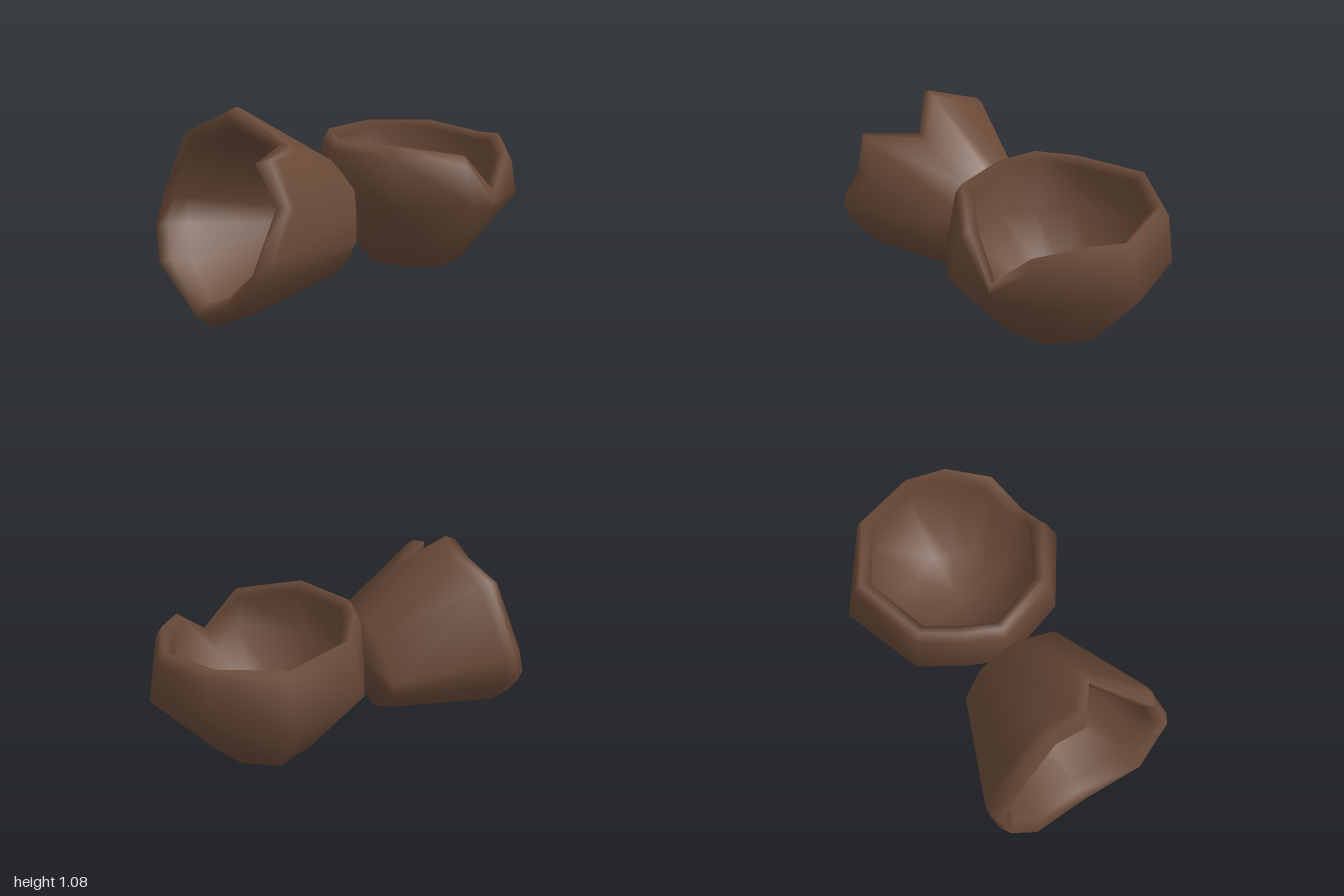
import * as THREE from 'three';
import { mergeVertices } from 'three/addons/utils/BufferGeometryUtils.js';

// Thick broken shell opening along +y. Each column is
// [angle in degrees, widest radius, rim height, rim radius].
function shellGeometry(columns, baseRadius, widestHeight, bulge) {
  const positions = [];
  const index = [];
  const rings = 9;
  for (const [deg, wide, rimH, rimR] of columns) {
    const a = THREE.MathUtils.degToRad(deg);
    const base = baseRadius * wide / 0.58;
    const mid = Math.min(widestHeight, rimH - 0.1); // broken gaps cut below the widest ring
    const wideR = THREE.MathUtils.lerp(base, wide, mid / widestHeight);
    const profile = [
      [0, -bulge], [base, 0], [wideR, mid],
      [Math.min(rimR + 0.035, wideR + 0.02), rimH - 0.055], [rimR, rimH],
      [rimR - 0.055, rimH - 0.04],
      [wideR - 0.09, mid], [base - 0.03, 0.1], [0, 0.08],
    ];
    for (const [r, h] of profile) positions.push(r * Math.cos(a), h, r * Math.sin(a));
  }
  const n = columns.length;
  for (let i = 0; i < n; i++) {
    for (let j = 0; j < rings - 1; j++) {
      const p = i * rings + j;
      const q = ((i + 1) % n) * rings + j;
      if (j < rings - 2) index.push(p, p + 1, q + 1);
      if (j > 0) index.push(p, q + 1, q);
    }
  }
  // The first and last bands are fans around the poles
  let g = new THREE.BufferGeometry();
  g.setAttribute('position', new THREE.Float32BufferAttribute(positions, 3));
  g.setIndex(index);
  g = mergeVertices(g, 1e-5);
  g.computeVertexNormals();
  return g;
}

export function createModel() {
  const model = new THREE.Group();
  model.name = 'brokenShellHalves';
  const brown = new THREE.MeshStandardMaterial({ color: 0x6a4a38 });
  brown.name = 'shell brown';

  // Upright half with one notch at the front
  const upright = new THREE.Mesh(shellGeometry([
    [0, 0.6, 0.655, 0.5],
    [25, 0.545, 0.675, 0.49],
    [53, 0.575, 0.62, 0.51],
    [76, 0.555, 0.435, 0.53],
    [98, 0.615, 0.645, 0.5],
    [140, 0.585, 0.7, 0.5],
    [180, 0.585, 0.7, 0.51],
    [203, 0.54, 0.73, 0.48],
    [230, 0.575, 0.7, 0.49],
    [277, 0.62, 0.705, 0.51],
    [319, 0.57, 0.7, 0.5],
  ], 0.28, 0.395, 0), brown);
  upright.name = 'uprightShell';
  upright.position.set(0.4, 0.155, 0);
  model.add(upright);

  // Tipped half with a jagged rim, opening toward -x
  const tipped = new THREE.Mesh(shellGeometry([
    [4, 0.53, 0.65, 0.5],
    [27, 0.5, 0.42, 0.44],
    [53, 0.55, 0.67, 0.52],
    [75, 0.535, 0.58, 0.51],
    [98, 0.575, 0.66, 0.54],
    [113, 0.55, 0.66, 0.53],
    [136, 0.545, 0.7, 0.51],
    [178, 0.565, 0.66, 0.5],
    [225, 0.49, 0.73, 0.45],
    [252, 0.5, 0.71, 0.48],
    [272, 0.51, 0.68, 0.48],
    [320, 0.5, 0.68, 0.47],
    [345, 0.49, 0.63, 0.47],
  ], 0.345, 0.57, 0.02), brown);
  tipped.name = 'tippedShell';
  tipped.position.set(-0.23, 0.45, 0.01);
  tipped.rotation.z = THREE.MathUtils.degToRad(80);
  model.add(tipped);

  // Rest on the ground, centred
  const box = new THREE.Box3().setFromObject(model, true);
  const c = box.getCenter(new THREE.Vector3());
  for (const part of model.children) part.position.sub(new THREE.Vector3(c.x, box.min.y, c.z));
  return model;
}
